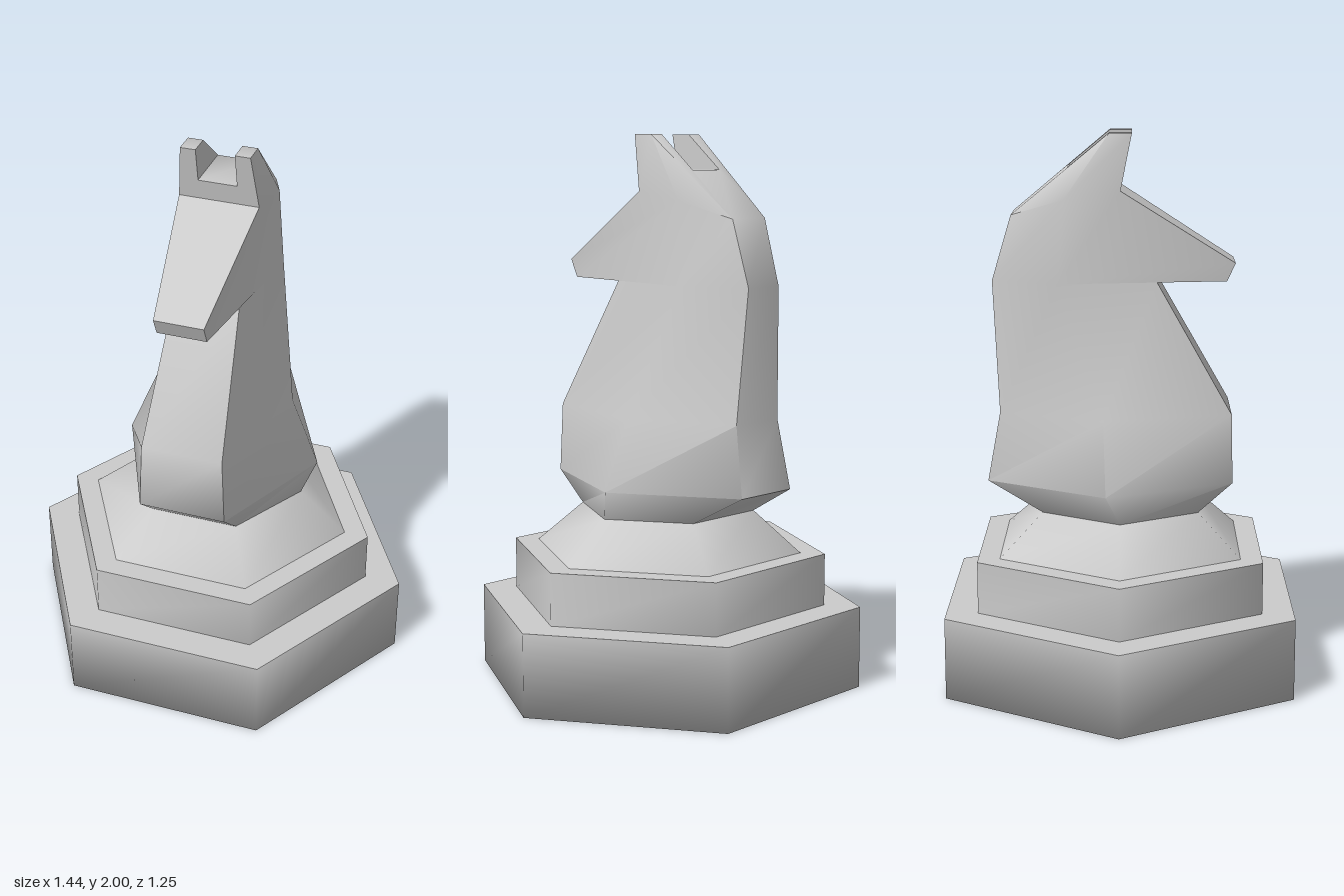
import * as THREE from 'three';
import { mergeGeometries, mergeVertices, toCreasedNormals } from 'three/addons/utils/BufferGeometryUtils.js';

const CREASE = 1.1;

// Unindexed geometry from convex polygons, each a list of [x, y, z] corners
function polygons(faces) {
  const pos = [];
  for (const f of faces) {
    for (let i = 1; i < f.length - 1; i++) pos.push(...f[0], ...f[i], ...f[i + 1]);
  }
  const g = new THREE.BufferGeometry();
  g.setAttribute('position', new THREE.Float32BufferAttribute(pos, 3));
  return g;
}

// Six-sided ring, symmetric in x: front, middle and back corners as width and z
function ring(y, fw, fz, mw, mz, bw, bz) {
  return [[fw, y, fz], [mw, y, mz], [bw, y, bz], [-bw, y, bz], [-mw, y, mz], [-fw, y, fz]];
}
const hex = (y, r) => ring(y, r / 2, r * 0.866, r, 0, r / 2, -r * 0.866);

// Faces joining successive rings from bottom to top
function loft(rings) {
  const faces = [];
  for (let k = 0; k < rings.length - 1; k++) {
    const a = rings[k], b = rings[k + 1];
    for (let i = 0; i < 6; i++) {
      const j = (i + 1) % 6;
      faces.push([a[i], a[j], b[j], b[i]]);
    }
  }
  return faces;
}

// Head with ears: right half points, mirrored across x
function headFaces() {
  const p = {
    tipTop: [0.09, 1.54, 0.41],
    tipLow: [0.09, 1.475, 0.38],
    jaw: [0.17, 1.475, -0.22],
    nape: [0.08, 1.475, -0.46],
    brow: [0.145, 1.8, 0],
    cheek: [0.155, 1.77, -0.2],
    crown: [0.085, 1.71, -0.39],
    earFO: [0.125, 2, 0.04],
    earFI: [0.07, 2, 0.04],
    earBI: [0.07, 2, -0.04],
    earBO: [0.125, 2, -0.04],
    notchF: [0.07, 1.875, 0.015],
    notchB: [0.07, 1.875, -0.19],
  };
  const mirror = ([x, y, z]) => [-x, y, z];
  const faces = [];
  // Side, ear and cheek faces, once per side
  const half = [
    ['cheek', 'brow', 'tipTop', 'tipLow', 'jaw'],
    ['jaw', 'nape', 'crown', 'cheek'],
    ['cheek', 'crown', 'earBO'],
    ['brow', 'cheek', 'earBO', 'earFO'],
    ['crown', 'notchB', 'earBI', 'earBO'],
    ['earFI', 'earBI', 'notchB', 'notchF'],
    ['earFO', 'earBO', 'earBI', 'earFI'],
    ['brow', 'earFO', 'earFI', 'notchF'],
  ];
  for (const names of half) {
    const f = names.map((n) => p[n]);
    faces.push(f, f.map(mirror).reverse());
  }
  // Strip running round the centre: chin, nose, forehead, notch, back of neck
  const strip = ['jaw', 'tipLow', 'tipTop', 'brow', 'notchF', 'notchB', 'crown', 'nape'];
  for (let i = 0; i < strip.length - 1; i++) {
    const a = p[strip[i]], b = p[strip[i + 1]];
    faces.push([mirror(a), a, b, mirror(b)]);
  }
  return faces;
}

export function createModel() {
  const group = new THREE.Group();
  const material = new THREE.MeshStandardMaterial({ color: 0xcccccc });
  const add = (name, geometry) => {
    const mesh = new THREE.Mesh(geometry, material);
    mesh.name = name;
    group.add(mesh);
  };

  // Base block, shaded smoothly over its lower edge
  const bottom = hex(0, 0.722);
  const base = mergeVertices(polygons([...loft([bottom, hex(0.3, 0.722)]), bottom.slice().reverse()]));
  base.computeVertexNormals();
  add('base', base);

  // Ledge and second step
  add('step', toCreasedNormals(polygons(
    loft([hex(0.3, 0.722), hex(0.3, 0.59), hex(0.49, 0.59), hex(0.49, 0.5)])), CREASE));

  // Flared foot up to the waist
  const waist = hex(0.64, 0.325);
  add('foot', toCreasedNormals(polygons(loft([hex(0.49, 0.5), waist])), CREASE));

  // Chest and neck, joined to the head so the shading runs through
  const neck = polygons(loft([
    waist,
    ring(0.75, 0.16, 0.405, 0.37, -0.05, 0.13, -0.48),
    ring(1.0, 0.15, 0.4, 0.265, -0.06, 0.11, -0.435),
    ring(1.475, 0.12, 0.13, 0.17, -0.22, 0.08, -0.46),
  ]));
  add('horseNeckAndHead', toCreasedNormals(mergeGeometries([neck, polygons(headFaces())]), CREASE));

  return group;
}
